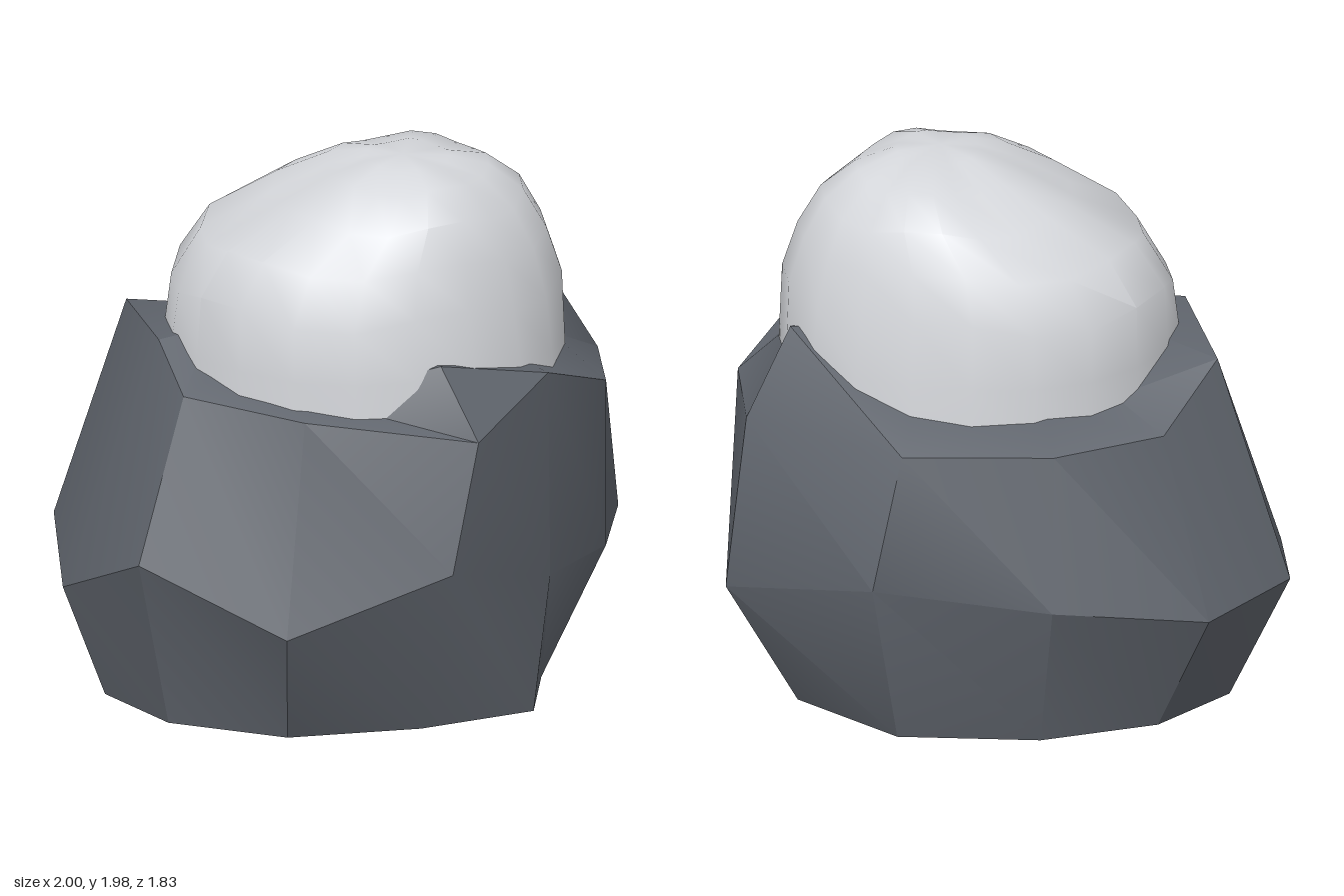
import * as THREE from 'three';
import { toCreasedNormals } from 'three/addons/utils/BufferGeometryUtils.js';

const rockGrey = new THREE.MeshStandardMaterial({ color: 0x5f646c });
const snowWhite = new THREE.MeshStandardMaterial({ color: 0xd5d7db });

// Skins rings of [x, y, z] points, lowest first, each running counterclockwise seen from above.
function loft(rings, bottom, top, crease) {
  const n = rings[0].length;
  const points = rings.flat();
  const index = [];
  for (let r = 0; r < rings.length - 1; r++) {
    for (let i = 0; i < n; i++) {
      const a = r * n + i, b = r * n + (i + 1) % n;
      index.push(a, b, a + n, b, b + n, a + n);
    }
  }
  const close = (centre, start, up) => {
    const c = points.push(centre) - 1;
    for (let i = 0; i < n; i++) {
      const a = start + i, b = start + (i + 1) % n;
      if (up) index.push(a, b, c); else index.push(b, a, c);
    }
  };
  if (bottom) close(bottom, 0, false);
  if (top) close(top, (rings.length - 1) * n, true);
  const g = new THREE.BufferGeometry();
  g.setAttribute('position', new THREE.Float32BufferAttribute(points.flat(), 3));
  g.setIndex(index);
  return toCreasedNormals(g, crease);
}

function makeRock() {
  const foot = [[.74, .33], [.75, -.04], [.75, -.4], [.38, -.74], [-.13, -.75], [-.54, -.58],
    [-.78, -.27], [-.79, .22], [-.55, .52], [-.12, .66], [.35, .54]].map(([x, z]) => [x, 0, z]);
  const belly = [[.8, .52, .35], [.98, .5, -.04], [1, .48, -.53], [.46, .62, -.91], [-.18, .55, -.92],
    [-.73, .47, -.77], [-1, .48, -.36], [-.94, .4, .22], [-.65, .63, .64], [-.11, .45, .91], [.47, .63, .69]];
  const shoulder = [[.79, 1.26, .29], [.98, 1.12, -.04], [.93, 1.1, -.46], [.36, 1.1, -.82], [-.18, 1.1, -.8],
    [-.56, 1.1, -.57], [-.74, 1.3, -.32], [-.6, 1.33, .2], [-.5, 1.2, .44], [-.06, 1.17, .62], [.56, 1.12, .66]];
  const rim = [[.68, 1.3, .25], [.78, 1.3, -.04], [.78, 1.4, -.33], [.32, 1.22, -.6], [-.14, 1.2, -.6],
    [-.38, 1.2, -.45], [-.5, 1.34, -.18], [-.42, 1.36, .14], [-.38, 1.26, .36], [-.04, 1.22, .5], [.42, 1.36, .53]];
  return loft([foot, belly, shoulder, rim], [0, 0, 0], [.12, 1.3, -.05], 0.5);
}

function makeSnow() {
  // Each level: height, x range, z range, waviness
  const levels = [
    [1.08, -.6, .84, -.69, .59, 0],
    [1.3, -.595, .83, -.68, .58, .005],
    [1.51, -.58, .81, -.66, .56, .03],
    [1.68, -.47, .76, -.6, .5, .02],
    [1.82, -.22, .68, -.52, .42, .02],
    [1.92, -.02, .56, -.38, .29, .012],
    [1.965, .12, .42, -.18, .16, .006],
  ];
  const n = 20;
  const rings = levels.map(([y, x0, x1, z0, z1, wave]) =>
    Array.from({ length: n }, (_, i) => {
      const t = i / n * Math.PI * 2;
      const k = 1 + wave * 0.7 * Math.sin(3 * t + 1);
      return [
        (x0 + x1) / 2 + (x1 - x0) / 2 * k * Math.cos(t),
        y + wave * Math.sin(5 * t + 0.6),
        (z0 + z1) / 2 - (z1 - z0) / 2 * k * Math.sin(t),
      ];
    }));
  return loft(rings, null, [.26, 1.975, 0], 0.6);
}

export function createModel() {
  const group = new THREE.Group();
  group.name = 'snowyBoulder';

  const rock = new THREE.Mesh(makeRock(), rockGrey);
  rock.name = 'boulder';

  // Rounded cap whose skirt sinks into the boulder
  const snow = new THREE.Mesh(makeSnow(), snowWhite);
  snow.name = 'snowCap';

  group.add(rock, snow);
  return group;
}
